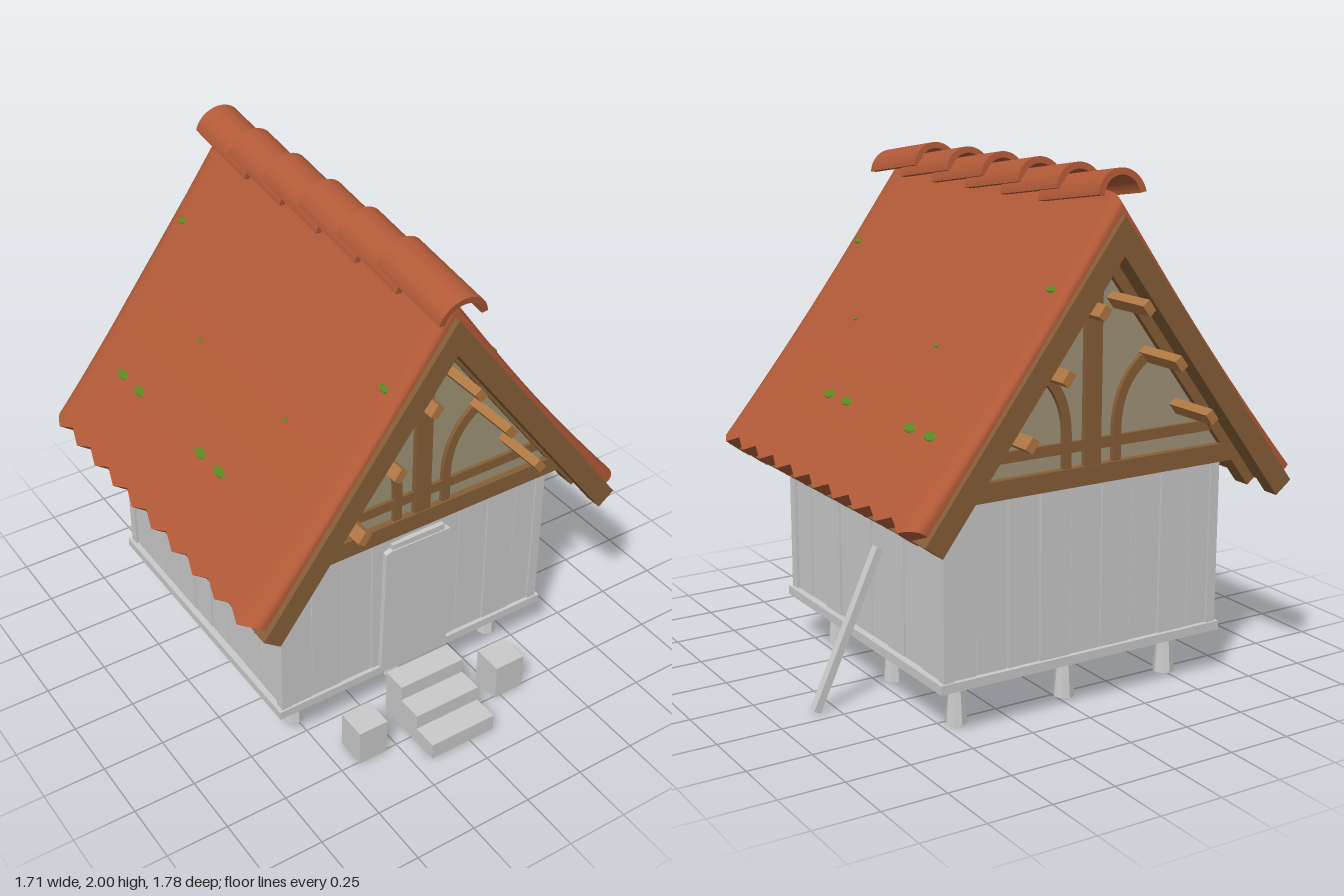
import * as THREE from 'three';
import { toCreasedNormals } from 'three/addons/utils/BufferGeometryUtils.js';

const mat = (name, color) => {
  const m = new THREE.MeshStandardMaterial({ color });
  m.name = name;
  return m;
};

export function createModel() {
  const model = new THREE.Group();
  const house = new THREE.Group();
  house.name = 'house';
  house.position.set(-0.033, 0, -0.06);
  model.add(house);

  const grey = mat('pale grey wood', 0xcacaca);
  const timber = mat('brown timber', 0x865e38);
  const purlinWood = mat('light timber', 0xb07844);
  const plaster = mat('beige plaster', 0xa09478);
  const tile = mat('red clay', 0xb25a38);
  const moss = mat('green moss', 0x5f8a22);

  let seed = 7;
  const rand = () => (seed = (seed * 16807) % 2147483647) / 2147483647;

  const add = (name, geo, material, x = 0, y = 0, z = 0, parent = house) => {
    const mesh = new THREE.Mesh(geo, material);
    mesh.name = name;
    mesh.position.set(x, y, z);
    parent.add(mesh);
    return mesh;
  };
  // box given by its limits
  const box = (name, x0, x1, y0, y1, z0, z1, m, parent = house) =>
    add(name, new THREE.BoxGeometry(x1 - x0, y1 - y0, z1 - z0), m,
      (x0 + x1) / 2, (y0 + y1) / 2, (z0 + z1) / 2, parent);
  // flat outline extruded along z, centred on z = 0
  const slab = (outline, depth) => {
    const shape = outline instanceof THREE.Shape ? outline
      : new THREE.Shape(outline.map(([x, y]) => new THREE.Vector2(x, y)));
    const geo = new THREE.ExtrudeGeometry(shape, { depth, bevelEnabled: false, curveSegments: 16 });
    return toCreasedNormals(geo.translate(0, 0, -depth / 2), 0.5);
  };

  // Stilts with octagonal caps
  for (const x of [-0.47, 0, 0.47]) for (const z of [-0.47, 0, 0.47]) {
    const leg = add('stilt', new THREE.CylinderGeometry(0.028, 0.042, 0.16, 8), grey, x, 0.08, z);
    leg.geometry = toCreasedNormals(leg.geometry, 0.3);
    const cap = new THREE.CylinderGeometry(0.1, 0.085, 0.03, 8);
    add('stiltCap', toCreasedNormals(cap, 0.3), grey, x, 0.17, z);
  }
  box('floor', -0.617, 0.617, 0.185, 0.22, -0.617, 0.617, grey);

  // Plank walls around a solid core
  box('wallCore', -0.58, 0.58, 0.22, 0.865, -0.59, 0.59, grey);
  const count = 9;
  for (let side = 0; side < 4; side++) {
    const wall = new THREE.Group();
    wall.name = 'plankWall';
    wall.rotation.y = side * Math.PI / 2;
    house.add(wall);
    const face = side % 2 ? 0.598 : 0.608;
    const half = side % 2 ? 0.565 : 0.6;
    const w = 2 * half / count;
    for (let i = 0; i < count; i++) {
      const x = -half + i * w;
      const plank = box('plank', x + 0.002, x + w - 0.002, 0.222, 0.868, face - 0.035,
        face - rand() * 0.008, grey, wall);
      plank.rotation.z = (rand() - 0.5) * 0.008;
    }
  }
  for (const x of [-1, 1]) for (const z of [-1, 1])
    add('cornerPost', new THREE.BoxGeometry(0.04, 0.645, 0.04), grey, x * 0.582, 0.543, z * 0.59);

  // Door
  add('door', slab([[-0.165, 0.222], [0.143, 0.222], [0.158, 0.77], [0.14, 0.785], [-0.13, 0.79], [-0.15, 0.78]], 0.03),
    grey, 0, 0, 0.612);
  box('doorLintel', -0.12, 0.115, 0.785, 0.812, 0.6, 0.622, grey);

  // Steps and side blocks
  [[0.89, 0.07], [0.785, 0.135], [0.68, 0.2]].forEach(([z, h]) =>
    box('step', -0.18, 0.11, 0, h, 0.578, z, grey, model));
  box('block', -0.425, -0.3, 0, 0.155, 0.635, 0.76, grey, model);
  box('block', 0.22, 0.352, 0, 0.155, 0.635, 0.76, grey, model);

  // Leaning plank
  add('leaningPlank', new THREE.BoxGeometry(0.03, 0.645, 0.035), grey, 0.699, 0.295, -0.185, model)
    .rotation.z = 0.432;

  // Gable trusses with plaster, posts, beams and curved braces
  const rafterShape = [[0, 1.84], [0.783, 0.805], [0.717, 0.755], [0, 1.703], [-0.717, 0.755], [-0.783, 0.805]];
  for (const end of [-1, 1]) {
    const gable = new THREE.Group();
    gable.name = 'gable';
    gable.position.z = end * 0.605;
    house.add(gable);
    add('rafters', slab(rafterShape, 0.07), timber, 0, 0, 0, gable);
    add('gablePanel', slab([[-0.64, 0.866], [0.64, 0.866], [0, 1.72]], 0.02), plaster, 0, 0, 0, gable);
    add('tieBeam', slab([[-0.65, 0.865], [0.65, 0.865], [0.6, 0.935], [-0.6, 0.935]], 0.074), timber, 0, 0, 0, gable);
    add('collarBeam', slab([[-0.55, 0.99], [0.55, 0.99], [0.52, 1.03], [-0.52, 1.03]], 0.05), timber, 0, 0, 0, gable);
    box('kingPost', -0.035, 0.035, 0.93, 1.68, -0.032, 0.032, timber, gable);
    for (const s of [-1, 1]) {
      const brace = new THREE.Shape();
      brace.moveTo(0.09, 0.93);
      brace.lineTo(0.125, 0.93);
      brace.lineTo(0.125, 1.05);
      brace.quadraticCurveTo(0.125, 1.22, 0.262, 1.3);
      brace.lineTo(0.24, 1.335);
      brace.quadraticCurveTo(0.09, 1.24, 0.09, 1.05);
      // half a turn mirrors the brace to the other side
      add('curvedBrace', slab(brace, 0.056), timber, 0, 0, 0, gable).rotation.y = s < 0 ? Math.PI : 0;
    }
    add('bargeBoards', slab(rafterShape, 0.066), timber, 0, 0, end * 0.167, gable);
  }

  // Purlins poking out of both gables
  for (const s of [-1, 1]) for (const [x, y] of [[0.092, 1.52], [0.237, 1.31], [0.382, 1.1]])
    add('purlin', new THREE.BoxGeometry(0.05, 0.034, 1.655), purlinWood, s * x, y, 0).rotation.z = -s * 0.924;

  // Boards under the tiles
  add('roofBoards', slab([[0, 1.838], [0.781, 0.805], [0.748, 0.78], [0, 1.77], [-0.748, 0.78], [-0.781, 0.805]], 1.56), timber);

  // Tile shell: slightly sagging slopes, rounded gable ends, toothed eaves
  const zEnd = 0.782, teeth = 10, n = 14, slope = 1.3;
  const roofPoint = (t, z, top, lift = 0) => {
    const s = Math.abs(t), side = Math.sign(t);
    const phase = ((z + zEnd) / (2 * zEnd) * teeth) % 1;
    const tooth = Math.abs(phase - 0.5) * 2;
    const l = s * slope - 0.038 * tooth * s ** 16;
    const edge = Math.min(1, (zEnd - Math.abs(z)) / 0.08);
    const round = 0.35 + 0.65 * Math.sqrt(1 - (1 - edge) ** 2);
    const h = top ? (0.046 + 0.014 * s - 0.02 * Math.sin(Math.PI * s)) * round + lift : 0;
    if (s === 0) return [0, 1.84 + h / 0.603, z];
    return [side * (0.603 * l + 0.798 * h), 1.84 - 0.798 * l + 0.603 * h, z];
  };
  const zs = [];
  for (let i = 0; i <= teeth * 2; i++) zs.push(-zEnd + i * zEnd / teeth);
  for (const d of [0.004, 0.015, 0.03, 0.05]) zs.push(zEnd - d, d - zEnd);
  zs.sort((a, b) => a - b);
  const M = 2 * n + 1, R = 2 * M, pos = [], idx = [];
  for (const z of zs) {
    for (let i = 0; i < M; i++) pos.push(...roofPoint((i - n) / n, z, true));
    for (let i = M - 1; i >= 0; i--) pos.push(...roofPoint((i - n) / n, z, false));
  }
  for (let k = 0; k < zs.length - 1; k++) for (let i = 0; i < R; i++) {
    const j = (i + 1) % R, a = k * R + i, b = k * R + j, c = b + R, d = a + R;
    idx.push(a, d, c, a, c, b);
  }
  const last = (zs.length - 1) * R;
  for (let i = 0; i < M - 1; i++) {
    const lo = R - 1 - i;
    idx.push(last + lo, last + lo - 1, last + i + 1, last + lo, last + i + 1, last + i);
    idx.push(lo, i + 1, lo - 1, lo, i, i + 1);
  }
  const shell = new THREE.BufferGeometry();
  shell.setAttribute('position', new THREE.Float32BufferAttribute(pos, 3));
  shell.setIndex(idx);
  add('roofTiles', toCreasedNormals(shell, 0.7), tile);

  // Overlapping ridge tiles
  const arch = new THREE.Shape();
  arch.absarc(0, 0, 0.1, 0.15, Math.PI - 0.15, false);
  arch.absarc(0, 0, 0.076, Math.PI - 0.15, 0.15, true);
  const ridgeGeo = slab(arch, 0.37);
  for (let i = 0; i < 6; i++)
    add('ridgeTile', ridgeGeo, tile, 0, 1.872, 0.64 - i * 0.249).rotation.x = 0.15;

  // Moss patches lying on both slopes: [height, z, size]
  const patches = [[1.1, 0.22, 0.04], [1.1, 0.08, 0.04], [1.1, -0.4, 0.04], [1.1, -0.54, 0.04],
    [1.35, 0.37, 0.015], [1.35, -0.25, 0.015], [1.6, 0.7, 0.028], [1.6, -0.7, 0.028]];
  for (const side of [-1, 1]) for (const [y, z, r] of patches) {
    const t = side * (1.865 - y) / (0.798 * slope);
    const patch = add('mossPatch', new THREE.CylinderGeometry(0.8, 1, 0.006, 7), moss, ...roofPoint(t, z, true, 0.002));
    patch.rotation.z = -side * 0.924;
    patch.scale.set(r * 0.5, 1, r);
  }
  return model;
}
